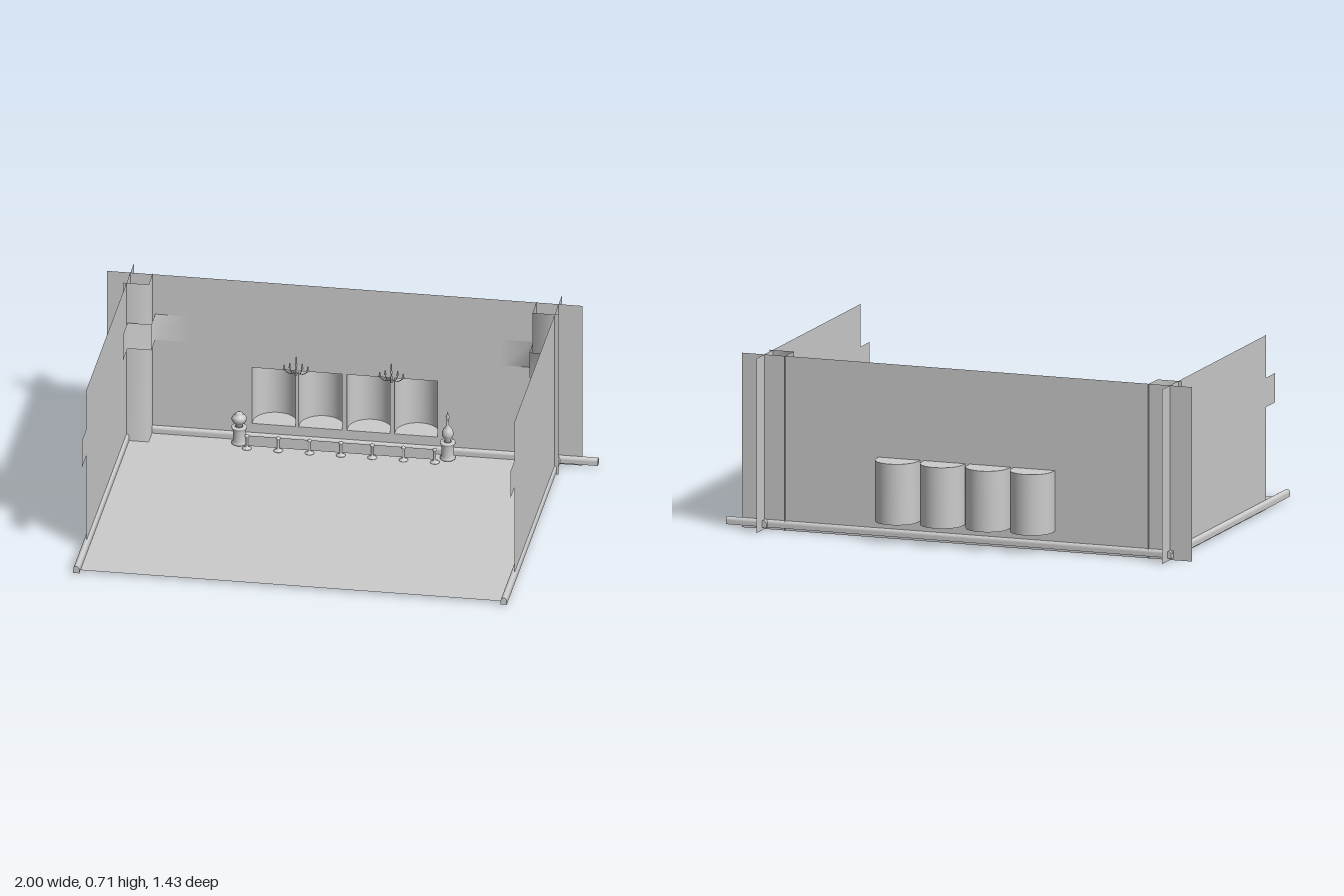
import * as THREE from 'three';
import { mergeVertices } from 'three/addons/utils/BufferGeometryUtils.js';

const mat = new THREE.MeshStandardMaterial({ color: 0xcccccc, side: THREE.DoubleSide });
const H = 0.715, FLOOR = 0.01, BACK = -0.605, LEFT = 0.838, RIGHT = -0.905, MID = (LEFT + RIGHT) / 2;

function add(parent, name, geometry, x = 0, y = 0, z = 0) {
  const mesh = new THREE.Mesh(geometry, mat);
  mesh.name = name;
  mesh.position.set(x, y, z);
  parent.add(mesh);
  return mesh;
}

// Flat outline from [x, y] points
function outline(points) {
  return new THREE.Shape(points.map(([x, y]) => new THREE.Vector2(x, y)));
}

// Upright smooth-shaded strip that follows [x, z] points
function ribbon(path, y0, y1) {
  const geo = new THREE.PlaneGeometry(1, 1, path.length - 1, 1);
  const pos = geo.attributes.position;
  for (let i = 0; i < pos.count; i++) {
    const [x, z] = path[i % path.length];
    pos.setXYZ(i, x, i < path.length ? y1 : y0, z);
  }
  geo.computeVertexNormals();
  return geo;
}

// Turned part from [radius, height] points
function turned(points, sides = 16) {
  return new THREE.LatheGeometry(points.map(([r, y]) => new THREE.Vector2(r, y)), sides);
}

// Rounded skirting moulding, running along +z
function moulding(length) {
  const s = new THREE.Shape();
  s.moveTo(-0.0125, 0);
  s.lineTo(0.0125, 0);
  s.lineTo(0.0125, 0.016);
  s.absellipse(0, 0.016, 0.0125, 0.014, 0, Math.PI, false);
  s.closePath();
  return new THREE.ExtrudeGeometry(s, { depth: length, bevelEnabled: false, curveSegments: 8 });
}

function makeCandelabra() {
  const g = new THREE.Group();
  g.name = 'candelabra';
  add(g, 'candelabraStem', turned([[0, 0], [0.006, 0.002], [0.003, 0.012], [0.005, 0.025], [0.002, 0.035],
    [0.006, 0.05], [0.003, 0.054], [0.003, 0.082], [0, 0.086]], 8));
  for (const side of [-1, 1]) {
    for (const [reach, top] of [[0.025, 0.032], [0.048, 0.022]]) {
      const arm = new THREE.CatmullRomCurve3([[0, 0.016], [reach * 0.55, 0.008], [reach, top]]
        .map(([x, y]) => new THREE.Vector3(side * x, y, 0)));
      add(g, 'candelabraArm', new THREE.TubeGeometry(arm, 8, 0.0018, 5));
      add(g, 'candle', turned([[0, 0], [0.006, 0.003], [0.006, 0.005], [0.003, 0.006], [0.003, 0.02], [0, 0.024]], 8),
        side * reach, top, 0);
    }
  }
  return g;
}

export function createModel() {
  const model = new THREE.Group();
  model.name = 'room';

  // Floor
  const floor = new THREE.PlaneGeometry(LEFT - RIGHT - 0.02, 1.285);
  floor.rotateX(-Math.PI / 2);
  add(model, 'floor', floor, MID, FLOOR, 0.0375);

  // Back wall with four openings, and the rounded niches behind them
  const wall = outline([[-1, 0], [0.935, 0], [0.935, H], [-1, H]]);
  const r = 0.088, low = 0.08, high = 0.33;
  const niches = new THREE.Group();
  niches.name = 'niches';
  for (const x of [-0.322, -0.132, 0.064, 0.258]) {
    wall.holes.push(outline([[x - r, low], [x - r, high], [x + r, high], [x + r, low]]));
    const arc = new THREE.Shape();
    arc.moveTo(-r, 0);
    arc.lineTo(-r, 0.028);
    arc.absarc(0, 0.028, r, Math.PI, 0, true);
    arc.lineTo(r, 0);
    const pts = arc.getPoints(20);
    const path = pts.map((p) => [x + p.x, BACK - p.y]);
    add(niches, 'nicheShell', ribbon(path, low, high));
    for (const y of [low, high]) {
      const cap = new THREE.ShapeGeometry(arc, 20);
      cap.rotateX(-Math.PI / 2);
      add(niches, 'nicheCap', cap, x, y, BACK);
    }
  }
  model.add(niches);
  add(model, 'backWall', new THREE.ShapeGeometry(wall), 0, 0, BACK);

  // Side walls with a tab on the front edge
  const side = outline([[-0.692, 0], [0.475, 0], [0.475, 0.42], [0.575, 0.42], [0.575, 0.54],
    [0.475, 0.54], [0.475, H], [-0.692, H]]);
  for (const [name, x] of [['leftWall', LEFT], ['rightWall', RIGHT]]) {
    const geo = new THREE.ShapeGeometry(side);
    geo.rotateY(-Math.PI / 2);
    add(model, name, geo, x);
  }

  // Corner columns and the bands around them, mirrored about the room's middle
  for (const s of [1, -1]) {
    const mirror = (path) => {
      const p = path.map(([x, z]) => [MID + s * (x - MID), z]);
      return s > 0 ? p : p.reverse();
    };
    add(model, 'cornerColumn', ribbon(mirror([[-0.92, -0.51], [-0.815, -0.51], [-0.815, -0.615]]), 0, H));
    add(model, 'columnBand', ribbon(mirror([[-0.9, -0.39], [-0.9, -0.503], [-0.803, -0.503],
      [-0.803, -0.6], [-0.67, -0.602]]), 0.425, 0.54));
  }

  // Skirting
  for (const x of [-0.907, 0.833]) add(model, 'sideSkirting', moulding(1.34), x, FLOOR, -0.63);
  add(model, 'backSkirting', moulding(1.92), -0.92, FLOOR, -0.604).rotation.y = Math.PI / 2;

  // Low barrier of posts and hanging strips
  const barrier = new THREE.Group();
  barrier.name = 'barrier';
  const post = turned([[0, 0], [0.019, 0], [0.019, 0.003], [0.008, 0.008], [0.005, 0.014], [0.005, 0.05],
    [0.009, 0.055], [0.009, 0.06], [0, 0.066]], 12);
  const gap = 0.1275;
  for (let i = 0; i < 7; i++) {
    const x = -0.416 + i * gap;
    add(barrier, 'barrierPost', post, x, FLOOR, -0.515);
    if (i < 6) add(barrier, 'barrierStrip', new THREE.PlaneGeometry(gap, 0.046), x + gap / 2, 0.046, -0.515);
  }
  model.add(barrier);

  // Pedestals, each with its own vase
  const pedestal = turned([[0, 0], [0.031, 0], [0.031, 0.008], [0.025, 0.014], [0.025, 0.062], [0.031, 0.068],
    [0.031, 0.076], [0, 0.076]], 20);
  const jar = turned([[0, 0], [0.016, 0], [0.012, 0.007], [0.024, 0.018], [0.032, 0.034], [0.026, 0.046],
    [0.014, 0.052], [0.017, 0.056], [0.01, 0.062], [0, 0.065]], 20);
  const bottle = turned([[0, 0], [0.015, 0], [0.012, 0.008], [0.022, 0.025], [0.024, 0.04], [0.018, 0.056],
    [0.006, 0.072], [0.004, 0.1], [0.008, 0.11], [0.004, 0.12], [0, 0.134]], 20);
  for (const [x, name, vase] of [[-0.455, 'jar', jar], [0.394, 'bottle', bottle]]) {
    add(model, 'pedestal', toSmooth(pedestal), x, FLOOR, -0.56);
    add(model, name, vase, x, FLOOR + 0.076, -0.56);
  }

  // Candelabra above the niches
  for (const x of [-0.226, 0.162]) {
    const c = makeCandelabra();
    c.position.set(x, 0.322, -0.577);
    model.add(c);
  }
  return model;
}

// Joins the seam of a turned part
function toSmooth(geometry) {
  const geo = geometry.clone();
  geo.deleteAttribute('uv');
  geo.deleteAttribute('normal');
  const merged = mergeVertices(geo);
  merged.computeVertexNormals();
  return merged;
}
